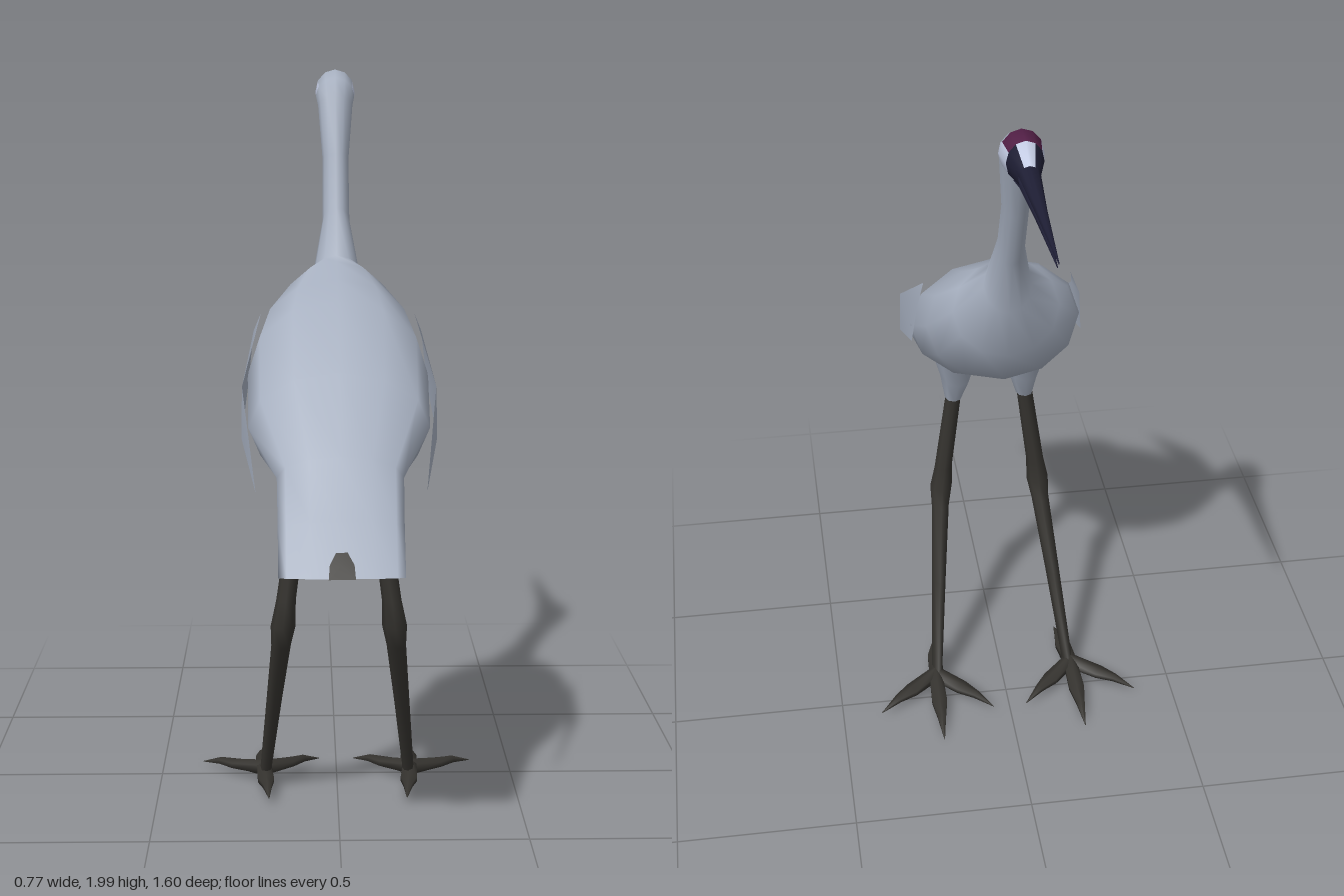
import * as THREE from 'three';

const V = (x, y, z) => new THREE.Vector3(x, y, z);
const mat = (name, color) => Object.assign(new THREE.MeshStandardMaterial({ color }), { name });

// Skin through elliptical rings [centre, sideAxis, upAxis]; pick(band, side) gives a material index
function loft(rings, n, pick = () => 0) {
  const pos = [], buckets = [];
  for (const [c, side, up] of rings) {
    for (let j = 0; j < n; j++) {
      const t = (j / n) * Math.PI * 2;
      const p = c.clone().addScaledVector(side, Math.sin(t)).addScaledVector(up, Math.cos(t));
      pos.push(p.x, p.y, p.z);
    }
  }
  for (let i = 0; i < rings.length - 1; i++) {
    for (let j = 0; j < n; j++) {
      const a = i * n + j, b = i * n + ((j + 1) % n);
      const k = pick(i, j);
      (buckets[k] ??= []).push(a, b, a + n, b, b + n, a + n);
    }
  }
  const g = new THREE.BufferGeometry();
  g.setAttribute('position', new THREE.Float32BufferAttribute(pos, 3));
  const index = [];
  buckets.forEach((list, k) => {
    g.addGroup(index.length, list.length, k);
    index.push(...list);
  });
  g.setIndex(index);
  g.computeVertexNormals();
  return g;
}

// Fan of triangles around the first point
function fan(points) {
  const g = new THREE.BufferGeometry().setFromPoints(points);
  const index = [];
  for (let i = 1; i < points.length - 1; i++) index.push(0, i, i + 1);
  g.setIndex(index);
  g.computeVertexNormals();
  return g;
}

// Ring given by its upper and lower point in the middle plane and a half width
const section = ([zt, yt, zb, yb, w]) => [
  V(0, (yt + yb) / 2, (zt + zb) / 2), V(w, 0, 0), V(0, (yt - yb) / 2, (zt - zb) / 2),
];
// Horizontal ring for the legs
const disc = ([x, y, z, rx, rz], s) => [V(x * s, y, z), V(rx, 0, 0), V(0, 0, rz)];

export function createModel() {
  const model = new THREE.Group();
  const plumage = mat('grey plumage', 0xa6afbf);
  plumage.side = THREE.DoubleSide;
  const cheek = mat('pale cheek', 0xc4cce4);
  const crown = mat('crown purple', 0x521f46);
  const dark = mat('beak navy', 0x1e1e34);
  const skin = mat('leg charcoal', 0x35332f);
  skin.side = THREE.DoubleSide;
  const add = (name, geometry, material, parent = model) => {
    const m = new THREE.Mesh(geometry, material);
    m.name = name;
    parent.add(m);
    return m;
  };

  // Tail, body, neck and head: z top, y top, z bottom, y bottom, half width
  const sections = [
    [0.77, 0.797, 0.77, 0.797, 0.12],
    [0.793, 0.797, 0.75, 0.792, 0.155],
    [0.675, 0.91, 0.63, 0.88, 0.157],
    [0.56, 1.05, 0.54, 0.94, 0.16],
    [0.38, 1.235, 0.40, 0.95, 0.235],
    [0.20, 1.40, 0.21, 1.005, 0.24],
    [0.10, 1.445, 0.03, 1.11, 0.21],
    [0.03, 1.485, -0.045, 1.23, 0.145],
    [0.01, 1.50, -0.072, 1.38, 0.065],
    [-0.055, 1.625, -0.12, 1.55, 0.037],
    [-0.125, 1.77, -0.205, 1.73, 0.036],
    [-0.18, 1.925, -0.238, 1.87, 0.048],
    [-0.215, 1.975, -0.25, 1.875, 0.054],
    [-0.255, 1.997, -0.27, 1.876, 0.055],
    [-0.32, 1.995, -0.31, 1.878, 0.047],
    [-0.385, 1.96, -0.375, 1.89, 0.027],
  ].map(section);
  const paint = (i, j) => {
    const up = Math.min(j, 11 - j); // 0 on the ridge, 5 underneath
    if (i === 12) return up >= 2 ? 1 : 0;
    if (i === 13) return up < 2 ? 2 : up < 4 ? 1 : 3;
    if (i === 14) return up < 1 ? 1 : 3;
    return 0;
  };
  add('body, neck and head', loft(sections, 12, paint), [plumage, cheek, crown, dark]);

  // Beak in two slender halves
  add('upperBeak', loft([
    [-0.34, 1.975, -0.34, 1.915, 0.035],
    [-0.385, 1.957, -0.385, 1.912, 0.027],
    [-0.55, 1.938, -0.55, 1.912, 0.015],
    [-0.80, 1.921, -0.80, 1.919, 0.001],
  ].map(section), 8), dark);
  add('lowerBeak', loft([
    [-0.34, 1.92, -0.34, 1.885, 0.032],
    [-0.385, 1.918, -0.385, 1.892, 0.025],
    [-0.55, 1.911, -0.55, 1.896, 0.013],
    [-0.78, 1.902, -0.78, 1.900, 0.001],
  ].map(section), 8), dark);

  // Dark mark at the tail tip
  add('tailMark', fan([
    V(0, 0.826, 0.771), V(-0.033, 0.796, 0.797), V(0.033, 0.796, 0.797), V(0.03, 0.826, 0.770),
    V(0.014, 0.851, 0.746), V(-0.014, 0.851, 0.746), V(-0.03, 0.826, 0.770), V(-0.033, 0.796, 0.797),
  ]), skin);

  for (const s of [1, -1]) {
    const sideName = s > 0 ? 'left' : 'right';

    // Folded wing, a thin sheet standing off the flank
    const wing = [
      [0.25, 1.2, 0.39], [0.205, 1.36, 0.16], [0.225, 1.31, 0.13],
      [0.24, 1.165, 0.18], [0.252, 1.07, 0.41], [0.21, 0.985, 0.68],
    ].map(([x, y, z]) => V(x * s, y, z));
    if (s > 0) wing.splice(1, 5, ...wing.slice(1).reverse());
    add(sideName + 'Wing', fan(wing), plumage);

    const leg = new THREE.Group();
    leg.name = sideName + 'Leg';
    model.add(leg);

    // Feathered thigh, then the bare leg with its joint
    add('thigh', loft([
      [0.106, 0.865, 0.345, 0.025, 0.03], [0.1, 0.95, 0.335, 0.045, 0.075], [0.1, 1.08, 0.31, 0.08, 0.11],
    ].map((r) => disc(r, s)), 8), plumage, leg);
    add('shank', loft([
      [0.203, 0.03, 0.06, 0.02, 0.04], [0.2, 0.065, 0.085, 0.016, 0.042], [0.175, 0.3, 0.215, 0.021, 0.035],
      [0.154, 0.49, 0.325, 0.026, 0.035], [0.148, 0.55, 0.347, 0.033, 0.037],
      [0.14, 0.62, 0.347, 0.026, 0.032], [0.105, 0.88, 0.345, 0.023, 0.029],
    ].map((r) => disc(r, s)), 8), skin, leg);

    // Three forward toes and one hind toe: tip x, tip y, tip z
    const base = V(0.208 * s, 0.048, 0.06);
    for (const [x, y, z] of [[0.212, 0.01, -0.195], [0.385, 0.022, -0.065], [0.05, 0.022, -0.085], [0.19, 0.03, 0.25]]) {
      const tip = V(x * s, y, z);
      const dir = tip.clone().sub(base).setY(0).normalize();
      const across = dir.clone().cross(V(0, 1, 0));
      const rings = [[0, 0.022, 0.024, 0], [0.45, 0.026, 0.014, 0.004], [0.7, 0.014, 0.011, 0.008], [1, 0.001, 0.001, 0]]
        .map(([t, w, h, lift]) => [
          base.clone().lerp(tip, t).add(V(0, lift, 0)), across.clone().multiplyScalar(w), V(0, h, 0),
        ]);
      add('toe', loft(rings, 6), skin, leg);
    }
  }
  return model;
}
